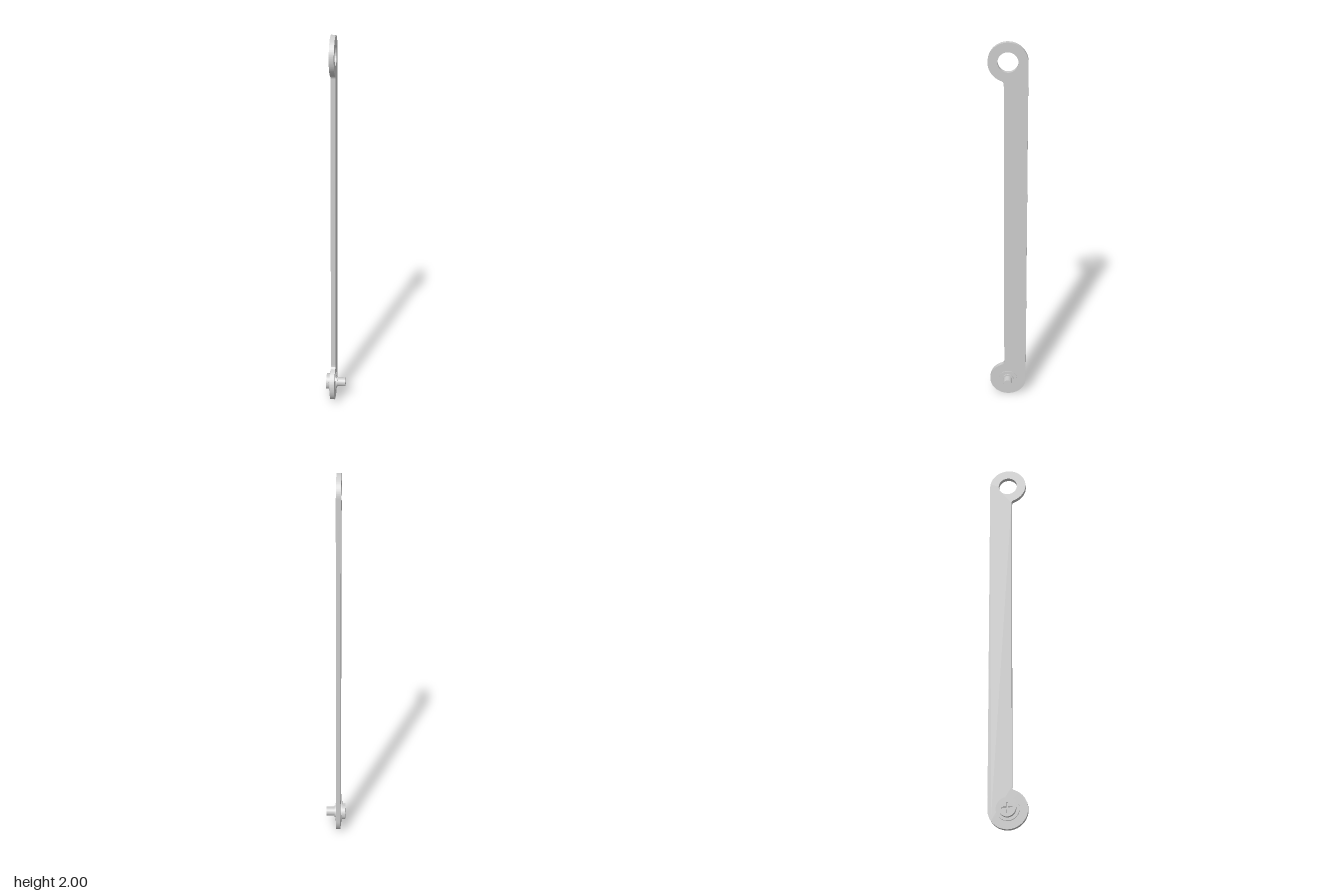
import * as THREE from 'three';
import { toCreasedNormals } from 'three/addons/utils/BufferGeometryUtils.js';

const R = 0.097;          // eye radius
const LOW = R, HIGH = 2 - R; // eye centres
const EDGE = 0.02;        // bar edge on the front side
const FILLET = 0.02;

export function createModel() {
  const group = new THREE.Group();
  const material = new THREE.MeshStandardMaterial({ color: 0xcccccc });

  const add = (name, geometry) => {
    const mesh = new THREE.Mesh(geometry, material);
    mesh.name = name;
    group.add(mesh);
    return mesh;
  };

  // Extrudes a shape drawn in (-z, y) along x from x0 to x1
  const slab = (name, shape, x0, x1) => {
    const g = new THREE.ExtrudeGeometry(shape, { depth: x1 - x0, bevelEnabled: false, curveSegments: 40 });
    g.rotateY(Math.PI / 2);
    g.translate(x0, 0, 0);
    return add(name, toCreasedNormals(g, 0.6));
  };

  // Round step on the pivot axis
  const disc = (name, radius, x0, x1) => {
    const g = new THREE.CylinderGeometry(radius, radius, x1 - x0, 48);
    g.rotateZ(-Math.PI / 2);
    g.translate((x0 + x1) / 2, LOW, 0);
    return add(name, g);
  };

  // Link bar with an eye at each end, flush along the back edge
  const cx = -EDGE - FILLET;
  const cy = Math.sqrt((R + FILLET) ** 2 - cx ** 2);
  const a = Math.atan2(cy, -cx);
  const bar = new THREE.Shape();
  bar.moveTo(R, LOW);
  bar.lineTo(R, HIGH);
  bar.absarc(0, HIGH, R, 0, Math.PI + a, false);
  bar.absarc(cx, HIGH - cy, FILLET, a, 0, true);
  bar.lineTo(-EDGE, LOW + cy);
  bar.absarc(cx, LOW + cy, FILLET, 0, -a, true);
  bar.absarc(0, LOW, R, Math.PI - a, Math.PI * 2, false);
  const eye = new THREE.Path();
  eye.absarc(0, HIGH, 0.05, 0, Math.PI * 2, true);
  bar.holes.push(eye);
  slab('linkBar', bar, -0.027, -0.003);

  // Pivot screw: flange, washers and pin
  disc('headFlange', 0.057, -0.034, -0.027);
  disc('washer', 0.05, -0.003, 0.001);
  disc('pinCollar', 0.031, -0.003, 0.007);
  disc('pin', 0.024, -0.003, 0.051);

  // Screw head with a cross-shaped recess
  const head = new THREE.Shape();
  head.absarc(0, LOW, 0.042, 0, Math.PI * 2, false);
  const w = 0.005, l = 0.026;
  const corners = [];
  for (let i = 0; i < 4; i++) {
    const c = Math.cos(i * Math.PI / 2), s = Math.sin(i * Math.PI / 2);
    for (const [u, v] of [[l, -w], [l, w], [w, w]]) {
      corners.push(new THREE.Vector2(u * c - v * s, LOW + u * s + v * c));
    }
  }
  head.holes.push(new THREE.Path(corners.reverse()));
  slab('screwHead', head, -0.052, -0.04);
  disc('screwHeadBase', 0.042, -0.04, -0.034);

  return group;
}
